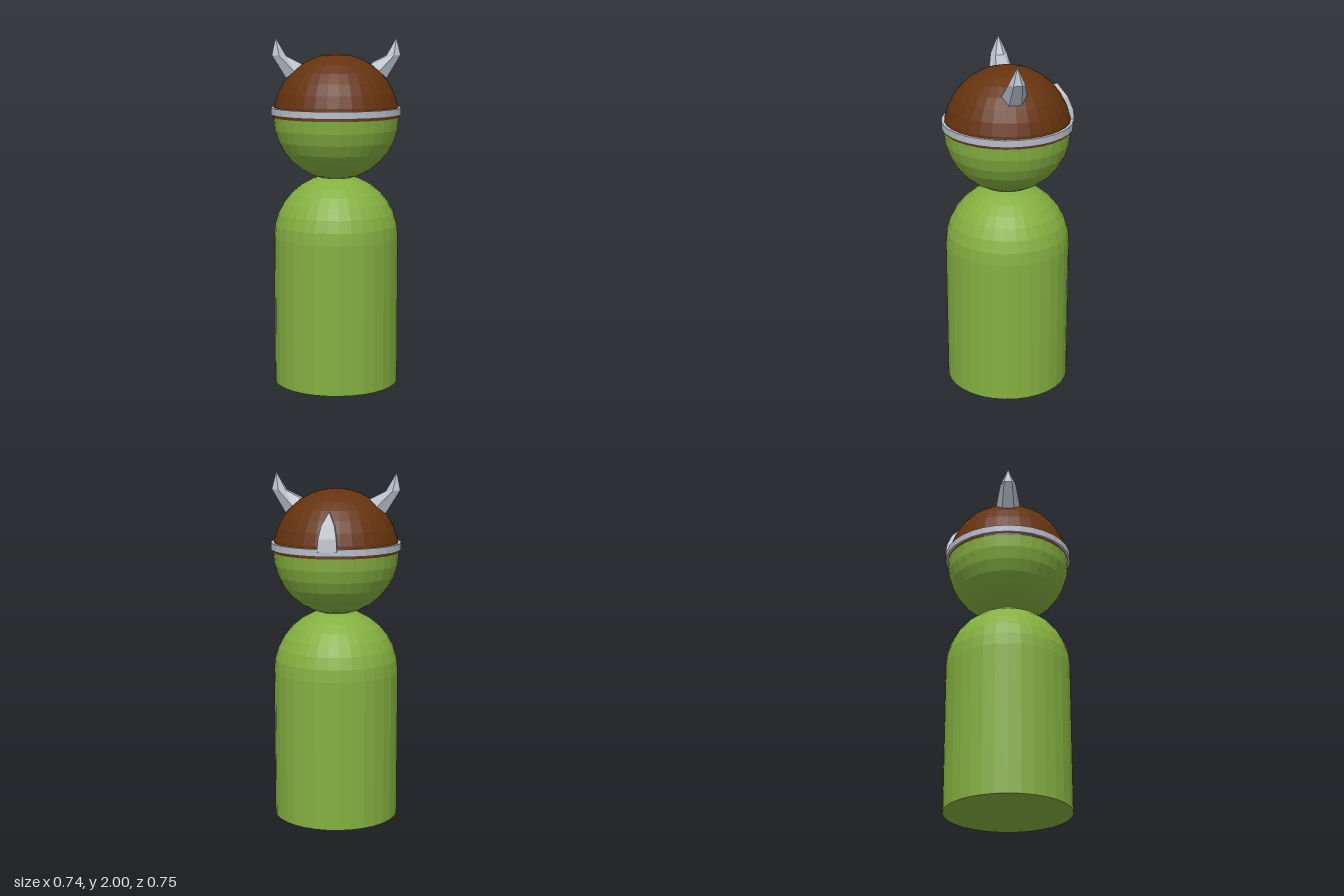
import * as THREE from 'three';

const paint = (color) => new THREE.MeshStandardMaterial({ color, flatShading: true, side: THREE.DoubleSide });
const R = 0.36;      // shared radius of body and head
const SIDES = 32;
const HEAD_Y = 1.55;
const BAND_Y = 1.585;

function addMesh(parent, name, geometry, material) {
  const mesh = new THREE.Mesh(geometry, material);
  mesh.name = name;
  parent.add(mesh);
  return mesh;
}

// Skin a stack of equal-length rings of Vector3, closing both ends
function loft(rings) {
  const n = rings[0].length;
  const pos = rings.flat().flatMap((p) => [p.x, p.y, p.z]);
  const index = [];
  for (let i = 0; i < rings.length - 1; i++) {
    for (let j = 0; j < n; j++) {
      const a = i * n + j, b = i * n + (j + 1) % n;
      index.push(a, b, b + n, a, b + n, a + n);
    }
  }
  const last = (rings.length - 1) * n;
  for (let j = 1; j < n - 1; j++) {
    index.push(0, j + 1, j, last, last + j, last + j + 1);
  }
  const geometry = new THREE.BufferGeometry();
  geometry.setAttribute('position', new THREE.Float32BufferAttribute(pos, 3));
  geometry.setIndex(index);
  geometry.computeVertexNormals();
  return geometry;
}

// Hexagonal ring in a plane tilted about z
function hexRing(x, y, radius, tilt) {
  return Array.from({ length: 6 }, (_, i) => {
    const a = (i + 0.5) * Math.PI / 3;
    const u = Math.cos(a) * radius, w = Math.sin(a) * radius;
    return new THREE.Vector3(x + u * Math.cos(tilt), y + u * Math.sin(tilt), -w);
  });
}

export function createModel() {
  const model = new THREE.Group();
  model.name = 'helmetedPegFigure';
  const green = paint(0x84b040);
  const brown = paint(0x66330f);
  const metal = paint(0xb8bec8);

  // Peg body: flat base, straight wall, domed top
  const profile = [new THREE.Vector2(0, 0), new THREE.Vector2(R, 0)];
  for (let i = 0; i <= 8; i++) {
    const a = i / 8 * Math.PI / 2;
    profile.push(new THREE.Vector2(Math.max(0, R * Math.cos(a)), 0.86 + R * Math.sin(a)));
  }
  addMesh(model, 'body', new THREE.LatheGeometry(profile, SIDES), green);

  // Lower half of the head, and the helmet shell above it
  addMesh(model, 'head',
    new THREE.SphereGeometry(R, SIDES, 8, 0, Math.PI * 2, Math.PI / 2, Math.PI / 2), green).position.y = HEAD_Y;
  addMesh(model, 'helmet',
    new THREE.SphereGeometry(R, SIDES, 8, 0, Math.PI * 2, 0, Math.PI / 2), brown).position.y = HEAD_Y;

  // Rim band
  const band = [[0.35, -0.02], [0.372, -0.02], [0.372, 0.02], [0.35, 0.02], [0.35, -0.02]]
    .map(([r, y]) => new THREE.Vector2(r, y));
  addMesh(model, 'rimBand', new THREE.LatheGeometry(band, SIDES), metal).position.y = BAND_Y;

  // Horns: hexagonal sections bending upward to a point
  const hornGeometry = loft([
    hexRing(0.24, 1.812, 0.07, -0.73),
    hexRing(0.325, 1.9, 0.047, 0.06),
    hexRing(0.344, 2.0, 0.0005, 0),
  ]);
  for (const [name, turn] of [['leftHorn', 0], ['rightHorn', Math.PI]]) {
    addMesh(model, name, hornGeometry, metal).rotation.y = turn;
  }

  // Pointed plate up the back of the helmet: [half width, y, outer z, inner z]
  const plate = [
    [0.055, 1.59, -0.375, -0.33],
    [0.05, 1.66, -0.366, -0.31],
    [0.036, 1.73, -0.338, -0.28],
    [0.0005, 1.8, -0.284, -0.24],
  ].map(([w, y, outer, inner]) => [
    new THREE.Vector3(-w, y, inner), new THREE.Vector3(w, y, inner),
    new THREE.Vector3(w, y, outer), new THREE.Vector3(-w, y, outer),
  ]);
  addMesh(model, 'backPlate', loft(plate), metal);

  return model;
}
